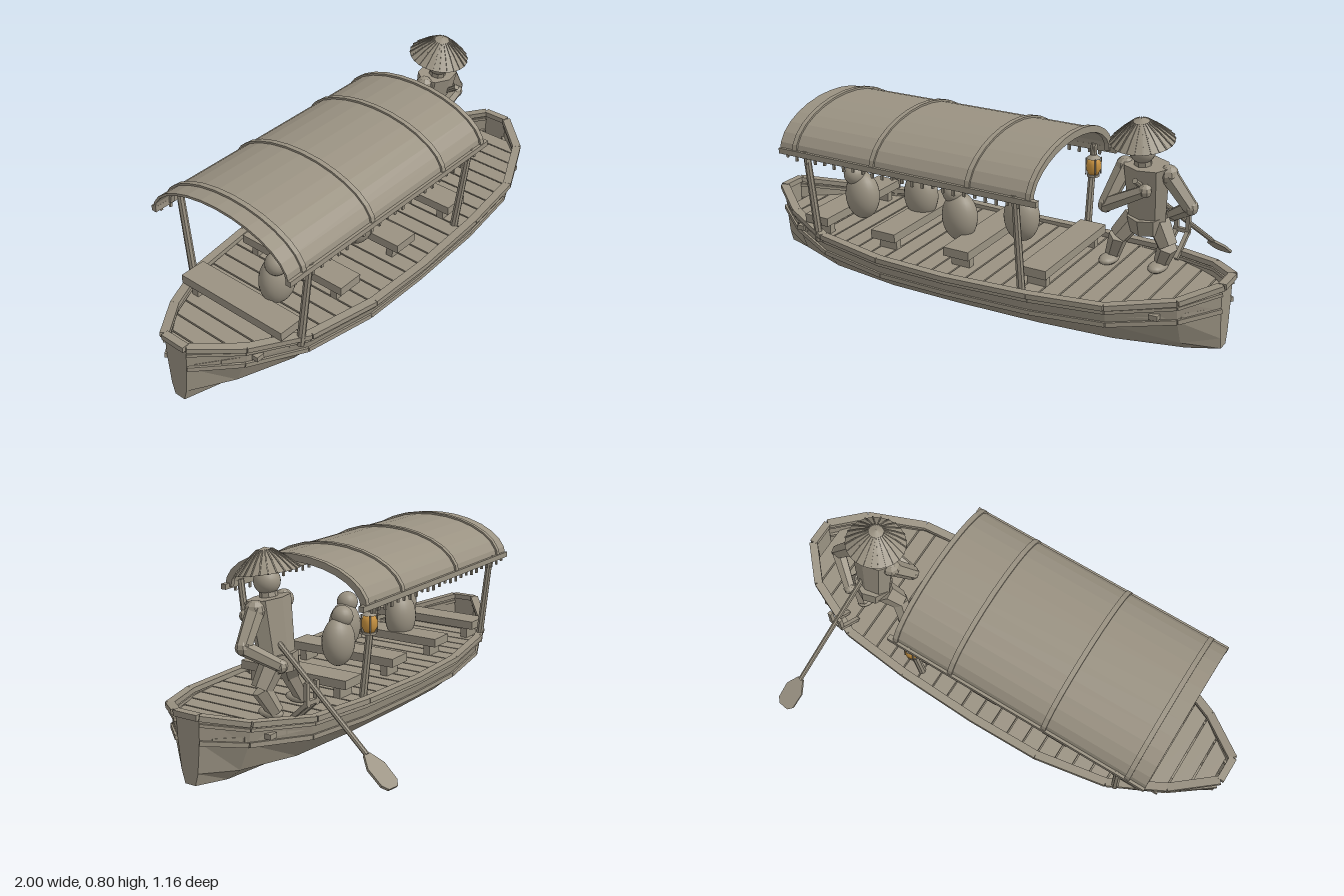
import * as THREE from 'three';

const V = (x, y, z) => new THREE.Vector3(x, y, z);

export function createModel() {
  const wood = new THREE.MeshStandardMaterial({ color: 0x9a9282 });
  wood.name = 'weatheredWood';
  wood.side = THREE.DoubleSide;
  const amber = new THREE.MeshStandardMaterial({ color: 0xc8923f });
  amber.name = 'amberGlass';

  const root = new THREE.Group();
  root.name = 'riverBoat';
  const boat = new THREE.Group(); // boat lies at a slight yaw
  boat.name = 'boat';
  boat.rotation.y = 0.096;
  boat.position.z = 0.165;
  root.add(boat);

  const flat = (g) => {
    const n = g.index ? g.toNonIndexed() : g;
    n.computeVertexNormals();
    return n;
  };
  const add = (parent, name, geo, x = 0, y = 0, z = 0, mat = wood) => {
    const m = new THREE.Mesh(geo, mat);
    m.name = name;
    m.position.set(x, y, z);
    parent.add(m);
    return m;
  };
  // square bar between two points
  const beam = (parent, name, a, b, w, h = w) => {
    const m = new THREE.Mesh(new THREE.BoxGeometry(w, h, a.distanceTo(b)), wood);
    m.name = name;
    m.position.copy(a).lerp(b, 0.5);
    m.lookAt(b);
    parent.add(m);
    return m;
  };
  // faceted tapered limb between two points
  const limb = (parent, name, a, b, r0, r1, sides = 6) => {
    const g = new THREE.CylinderGeometry(r1, r0, a.distanceTo(b), sides);
    const m = add(parent, name, flat(g));
    m.position.copy(a).lerp(b, 0.5);
    m.quaternion.setFromUnitVectors(V(0, 1, 0), b.clone().sub(a).normalize());
    return m;
  };

  // hull stations: [x, half width, sheer height]
  const stations = [
    [-0.985, 0.053, 0.272], [-0.82, 0.18, 0.235], [-0.6, 0.285, 0.21], [-0.3, 0.333, 0.197],
    [0, 0.335, 0.192], [0.35, 0.322, 0.2], [0.64, 0.293, 0.212], [0.87, 0.187, 0.24], [0.985, 0.053, 0.272],
  ];
  const halfWidth = (x) => {
    for (let i = 1; i < stations.length; i++) {
      const [x0, w0] = stations[i - 1], [x1, w1] = stations[i];
      if (x <= x1) return w0 + (w1 - w0) * (x - x0) / (x1 - x0);
    }
    return 0.05;
  };
  const section = ([x, w, sheer]) => {
    const e = Math.pow(Math.abs(x), 3);
    const mix = (a, b) => a + (b - a) * e;
    const half = [
      [w, sheer], [w * mix(0.95, 0.93), mix(0.122, 0.18)],
      [w * mix(0.71, 0.7), mix(0.045, 0.06)], [w * mix(0.27, 0.45), mix(0, 0.012)],
    ];
    return [...half.map(([z, y]) => V(x, y, z)), ...half.reverse().map(([z, y]) => V(x, y, -z))];
  };
  const rings = stations.map(section);
  const pos = [];
  const tri = (...ps) => ps.forEach((p) => pos.push(p.x, p.y, p.z));
  for (let i = 0; i < rings.length - 1; i++) {
    for (let j = 0; j < 7; j++) {
      const a = rings[i][j], b = rings[i + 1][j], c = rings[i + 1][j + 1], d = rings[i][j + 1];
      tri(a, d, c);
      tri(a, c, b);
    }
  }
  const first = rings[0], last = rings[rings.length - 1];
  for (let j = 1; j < 7; j++) {
    tri(first[0], first[j + 1], first[j]);
    tri(last[0], last[j], last[j + 1]);
  }
  const hullGeo = new THREE.BufferGeometry();
  hullGeo.setAttribute('position', new THREE.Float32BufferAttribute(pos, 3));
  hullGeo.computeVertexNormals();
  add(boat, 'hull', hullGeo);

  // gunwale caps and rub rails follow the hull sides
  for (let i = 0; i < rings.length - 1; i++) {
    for (const [j, k] of [[0, 1], [7, 6]]) {
      beam(boat, 'gunwale', rings[i][j], rings[i + 1][j], 0.034, 0.02);
      beam(boat, 'rubRail', rings[i][k], rings[i + 1][k], 0.02, 0.018);
      const up = (r) => r[k].clone().lerp(r[j], 0.7);
      beam(boat, 'sideStrake', up(rings[i]), up(rings[i + 1]), 0.018, 0.012);
    }
  }
  for (const r of [first, last]) beam(boat, 'endCap', r[0], r[7], 0.03, 0.022);

  // small blocks on the hull sides near both ends
  for (const x of [-0.78, 0.8]) for (const s of [-1, 1])
    add(boat, 'sideCleat', new THREE.BoxGeometry(0.035, 0.02, 0.03), x, 0.18, s * halfWidth(x) * 0.98);

  // crosswise deck planks
  const step = 0.074;
  for (let x = -0.962; x < 0.95; x += step) {
    const x1 = x + step - 0.006;
    const w0 = halfWidth(x) * 0.965, w1 = halfWidth(x1) * 0.965;
    const s = new THREE.Shape([[x, -w0], [x1, -w1], [x1, w1], [x, w0]].map((p) => new THREE.Vector2(...p)));
    const g = new THREE.ExtrudeGeometry(s, { depth: 0.02, bevelEnabled: false });
    g.rotateX(-Math.PI / 2);
    add(boat, 'deckPlank', g, 0, 0.17, 0);
  }

  // benches
  for (const x of [-0.66, -0.335, 0, 0.33]) {
    add(boat, 'bench', new THREE.BoxGeometry(0.11, 0.035, 0.5), x, 0.253, 0);
    for (const z of [-0.2, 0.2]) add(boat, 'benchLeg', new THREE.BoxGeometry(0.08, 0.05, 0.03), x, 0.212, z);
  }

  // arched canopy with ribs, edge rails and a short fringe
  const arch = (outer, inner, length) => {
    const pts = [];
    const n = 14;
    for (let i = 0; i <= n; i++) {
      const a = Math.PI * i / n;
      pts.push(new THREE.Vector2((0.328 + outer) * Math.cos(a), (0.162 + outer) * Math.sin(a)));
    }
    for (let i = n; i >= 0; i--) {
      const a = Math.PI * i / n;
      pts.push(new THREE.Vector2((0.328 - inner) * Math.cos(a), (0.162 - inner) * Math.sin(a)));
    }
    const g = new THREE.ExtrudeGeometry(new THREE.Shape(pts), { depth: length, bevelEnabled: false });
    return g.rotateY(Math.PI / 2);
  };
  add(boat, 'canopy', arch(0, 0.01, 1.12), -0.755, 0.556, 0);
  for (const x of [-0.69, -0.325, 0.095, 0.345]) add(boat, 'canopyRib', arch(0.008, 0.02, 0.02), x, 0.556, 0);
  for (const s of [-1, 1]) {
    beam(boat, 'canopyRail', V(-0.755, 0.56, s * 0.325), V(0.39, 0.56, s * 0.325), 0.022);
    for (let i = 0; i < 24; i++) {
      const h = 0.014 + 0.012 * Math.abs(Math.sin(i * 2.3));
      add(boat, 'fringe', new THREE.BoxGeometry(0.01, h, 0.008), -0.72 + i * 0.045, 0.55 - h / 2, s * 0.325);
    }
    for (const x of [-0.635, 0.295]) limb(boat, 'canopyPost', V(x, 0.18, s * 0.268), V(x, 0.575, s * 0.315), 0.016, 0.014, 8);
  }

  // hanging lantern
  const lantern = new THREE.Group();
  lantern.name = 'lantern';
  lantern.position.set(0.27, 0.487, -0.165);
  root.add(lantern);
  const glass = [[0, -0.036], [0.02, -0.036], [0.03, -0.015], [0.03, 0.012], [0.022, 0.032], [0, 0.032]];
  add(lantern, 'lanternGlass', new THREE.LatheGeometry(glass.map((p) => new THREE.Vector2(...p)), 12), 0, 0, 0, amber);
  add(lantern, 'lanternCap', new THREE.CylinderGeometry(0.012, 0.03, 0.014, 10), 0, 0.038, 0);
  add(lantern, 'lanternBase', new THREE.CylinderGeometry(0.026, 0.026, 0.01, 10), 0, -0.039, 0);
  for (let i = 0; i < 4; i++) {
    const a = i * Math.PI / 2 + 0.8, c = 0.03 * Math.cos(a), s = 0.03 * Math.sin(a);
    beam(lantern, 'lanternBar', V(c, -0.036, s), V(c, 0.034, s), 0.004);
  }
  beam(lantern, 'lanternHook', V(0, 0.04, 0), V(0, 0.08, 0.001), 0.006);

  // seated passengers as plain rounded figures: [body x, body z, head x, head z, head y]
  for (const [x, z, hx, hz, hy] of [
    [-0.54, 0.3, -0.56, 0.32, 0.42], [-0.348, 0.16, -0.37, 0.17, 0.44],
    [-0.08, 0.25, -0.105, 0.255, 0.425], [0.12, 0.115, 0.1, 0.11, 0.43],
  ]) {
    const body = add(root, 'passengerBody', new THREE.SphereGeometry(1, 24, 16), x, 0.328, z);
    body.scale.set(0.075, 0.1, 0.062);
    add(root, 'passengerHead', new THREE.SphereGeometry(0.044, 20, 14), hx, hy, hz);
  }

  // standing rower
  const rower = new THREE.Group();
  rower.name = 'rower';
  root.add(rower);
  const torso = limb(rower, 'torso', V(0.605, 0.4, -0.005), V(0.61, 0.625, 0.025), 0.078, 0.095, 8);
  torso.scale.z = 0.72;
  limb(rower, 'hips', V(0.605, 0.355, -0.015), V(0.605, 0.42, -0.005), 0.07, 0.078, 8);
  limb(rower, 'neck', V(0.6, 0.61, 0.03), V(0.6, 0.66, 0.04), 0.035, 0.032, 8);
  add(rower, 'head', new THREE.SphereGeometry(0.05, 18, 14), 0.6, 0.68, 0.04);

  const hat = new THREE.Group();
  hat.name = 'strawHat';
  hat.position.set(0.597, 0.715, 0.038);
  hat.rotation.x = 0.17;
  rower.add(hat);
  const brim = [[0.12, 0], [0.075, 0.042], [0.03, 0.077], [0, 0.088]];
  add(hat, 'hatCone', flat(new THREE.LatheGeometry(brim.map((p) => new THREE.Vector2(...p)), 24)));
  for (let i = 0; i < 24; i++) {
    const a = i * Math.PI / 12, at = ([r, y]) => V(r * Math.sin(a), y + 0.001, r * Math.cos(a));
    for (let j = 0; j < 2; j++) beam(hat, 'hatRib', at(brim[j]), at(brim[j + 1]), 0.005);
  }

  // joints: [upper, middle, end] for each limb
  const arms = [
    [V(0.525, 0.6, 0.03), V(0.49, 0.462, 0.105), V(0.65, 0.55, 0.1)],
    [V(0.695, 0.595, 0.01), V(0.78, 0.48, -0.01), V(0.67, 0.4, -0.085)],
  ];
  for (const [a, b, c] of arms) {
    limb(rower, 'upperArm', a, b, 0.036, 0.03);
    limb(rower, 'forearm', b, c, 0.03, 0.024);
    add(rower, 'shoulder', flat(new THREE.SphereGeometry(0.038, 8, 6)), a.x, a.y, a.z);
    add(rower, 'elbow', flat(new THREE.SphereGeometry(0.03, 8, 6)), b.x, b.y, b.z);
    add(rower, 'hand', flat(new THREE.SphereGeometry(0.026, 8, 6)), c.x, c.y, c.z);
  }
  const legs = [
    [V(0.555, 0.39, -0.005), V(0.505, 0.315, 0.025), V(0.465, 0.215, 0.0)],
    [V(0.645, 0.39, -0.02), V(0.695, 0.305, -0.01), V(0.655, 0.215, -0.04)],
  ];
  for (const [a, b, c] of legs) {
    limb(rower, 'thigh', a, b, 0.048, 0.04);
    limb(rower, 'shin', b, c, 0.038, 0.03);
    const foot = add(rower, 'foot', new THREE.SphereGeometry(1, 14, 8), c.x, 0.208, c.z + 0.025);
    foot.scale.set(0.035, 0.02, 0.055);
  }

  // oar and its forked rest
  const grip = V(0.62, 0.59, 0.125), neck = V(0.658, 0.155, -0.465);
  limb(root, 'oarShaft', grip, neck, 0.011, 0.01, 8);
  const bladeOutline = [[-0.014, 0], [-0.042, 0.055], [-0.04, 0.13], [-0.022, 0.152], [0.022, 0.152], [0.04, 0.13], [0.042, 0.055], [0.014, 0]];
  const bladeGeo = new THREE.ExtrudeGeometry(
    new THREE.Shape(bladeOutline.map((p) => new THREE.Vector2(...p))), { depth: 0.01, bevelEnabled: false });
  bladeGeo.rotateX(Math.PI / 2);
  const blade = add(root, 'oarBlade', bladeGeo, neck.x, neck.y + 0.005, neck.z);
  blade.lookAt(neck.clone().add(neck.clone().sub(grip)));
  for (const x of [0.625, 0.675]) {
    beam(root, 'oarRestArm', V(x, 0.205, -0.12), V(x, 0.285, -0.21), 0.016);
    beam(root, 'oarRestProng', V(x, 0.275, -0.21), V(x, 0.365, -0.2101), 0.016);
  }
  beam(root, 'oarRestBar', V(0.615, 0.29, -0.21), V(0.685, 0.29, -0.21), 0.016);

  return root;
}
